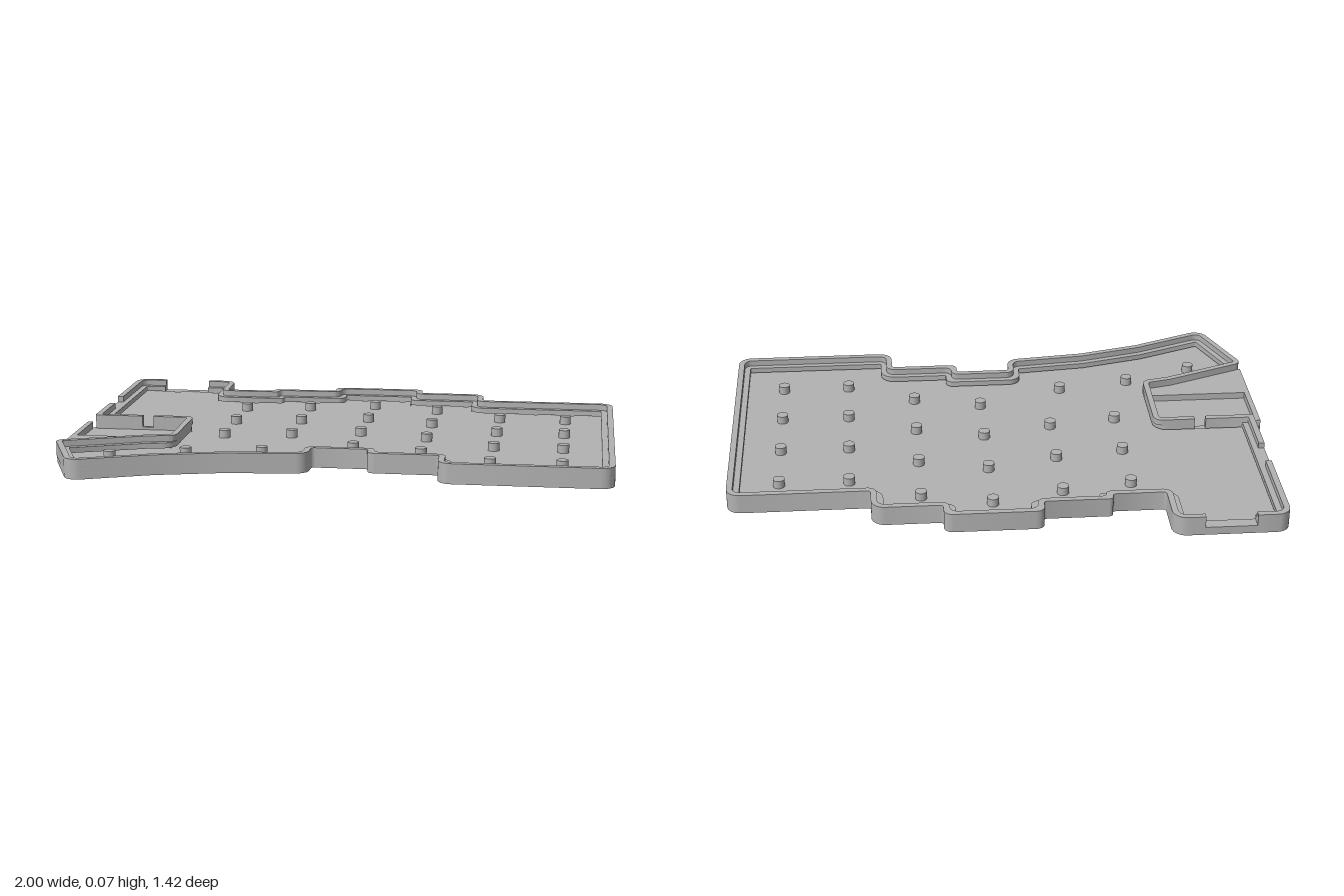
import * as THREE from 'three';
import { toCreasedNormals } from 'three/addons/utils/BufferGeometryUtils.js';

const FLOOR = 0.02, NOTCH = 0.03, LEDGE = 0.05, TOP = 0.0725;
const LIP = 0.022, FULL = 0.044;

// Wall outline, clockwise seen from above: [x, z, corner radius, thin edge follows]
const R = 0.05, C = 0.012;
const OUTLINE = [
  [-0.97, -0.716, R], [-0.85, -0.716, 0], [-0.668, -0.716, 0], [-0.556, -0.716, R],
  [-0.556, -0.54, C], [-0.365, -0.54, C], [-0.365, -0.572, R], [-0.118, -0.572, C],
  [-0.118, -0.636, R], [0.235, -0.636, R], [0.235, -0.572, C], [0.487, -0.572, R],
  [0.487, -0.457, C], [0.998, -0.457, R], [0.998, 0.604, R], [0.39, 0.604, R],
  [0.39, 0.487, C], [0.134, 0.487, R], [0.134, 0.43, C], [-0.07, 0.43, C],
  [-0.07, 0.519, R], [-0.37, 0.551, 0], [-0.604, 0.61, 0], [-0.885, 0.722, R],
  [-1.005, 0.425, 0.03], [-0.7, 0.305, 0], [-0.61, 0.285, C, true], [-0.61, 0, C, true],
  [-0.743, 0, 0, true], [-0.785, 0, 0, true], [-0.97, 0, C], [-0.97, -0.22, 0], [-0.97, -0.35, 0],
];
const PORT = 1, SLOT = 28, BUTTON = 31; // outline vertices where openings begin

// Offsets the outline inward and rounds it; returns a group of points per vertex
function insetOutline(width, thinWidth) {
  const n = OUTLINE.length;
  const dir = OUTLINE.map((p, i) => {
    const q = OUTLINE[(i + 1) % n];
    return new THREE.Vector2(q[0] - p[0], q[1] - p[1]).normalize();
  });
  const cornerPts = OUTLINE.map((p, i) => {
    const k = (i + n - 1) % n, a = dir[k], b = dir[i];
    const da = OUTLINE[k][3] ? thinWidth : width, db = p[3] ? thinWidth : width;
    const cross = a.x * b.y - a.y * b.x;
    const base = new THREE.Vector2(p[0], p[1]);
    if (Math.abs(cross) < 1e-6) return base.add(new THREE.Vector2(-b.y * db, b.x * db));
    const s = (da * a.dot(b) - db) / cross;
    return base.add(new THREE.Vector2(-a.y * da + a.x * -s * -1, a.x * da + a.y * s));
  });
  return cornerPts.map((p, i) => {
    const r0 = OUTLINE[i][2];
    if (r0 === 0) return [p];
    const k = (i + n - 1) % n, a = dir[k], b = dir[i];
    const convex = a.x * b.y - a.y * b.x > 0;
    const r = Math.max(0.004, convex ? r0 - width : r0 + width);
    const angle = Math.acos(THREE.MathUtils.clamp(a.dot(b), -1, 1));
    const room = 0.48 * Math.min(p.distanceTo(cornerPts[k]), p.distanceTo(cornerPts[(i + 1) % n]));
    const t = Math.min(r * Math.tan(angle / 2), room), rad = t / Math.tan(angle / 2);
    const side = convex ? 1 : -1;
    const start = p.clone().addScaledVector(a, -t);
    const centre = start.clone().add(new THREE.Vector2(-a.y, a.x).multiplyScalar(rad * side));
    return Array.from({ length: 9 }, (_, j) =>
      start.clone().rotateAround(centre, side * angle * j / 8));
  });
}

// Extrudes a plan (x, z) outline between two heights
function slab(points, y0, y1, hole) {
  const flip = (list) => list.map((p) => new THREE.Vector2(p.x, -p.y));
  const shape = new THREE.Shape(flip(points));
  if (hole) shape.holes.push(new THREE.Path(flip(hole)));
  const g = new THREE.ExtrudeGeometry(shape, { depth: y1 - y0, bevelEnabled: false });
  g.rotateX(-Math.PI / 2).translate(0, y0, 0);
  return toCreasedNormals(g, 0.5);
}

export function createModel() {
  const model = new THREE.Group();
  model.name = 'tray';
  const grey = new THREE.MeshStandardMaterial({ color: 0xb2b2b2 });
  grey.name = 'grey plastic';
  const add = (name, geometry) => {
    const mesh = new THREE.Mesh(geometry, grey);
    mesh.name = name;
    model.add(mesh);
    return mesh;
  };

  const outer = insetOutline(0, 0);
  const lipInner = insetOutline(LIP, LIP);
  const wallInner = insetOutline(FULL, LIP);
  const n = OUTLINE.length;
  const vec = (list) => list.map(([x, z]) => new THREE.Vector2(x, z));

  // Wall pieces running between openings
  function brokenWall(name, inner, y0, y1, gaps) {
    gaps.forEach((g, i) => {
      const end = gaps[(i + 1) % gaps.length];
      const ids = [];
      for (let v = g + 1; ; v++) {
        ids.push(v % n);
        if (v % n === end) break;
      }
      const out = ids.flatMap((v) => outer[v]);
      const back = ids.flatMap((v) => inner[v]).reverse();
      add(name, slab([...out, ...back], y0, y1));
    });
  }

  // Floor, including the ground under the side pocket
  const floorEdge = [
    ...outer.slice(0, 24).flat(),
    ...vec([[-0.99, 0.46], [-1, 0.425], [-1, 0], [-0.97, -0.02]]),
    ...outer.slice(31).flat(),
  ];
  add('floor', slab(floorEdge, 0, FLOOR));

  // Walls: solid base, ledge with openings, and raised outer lip
  add('wallBase', slab(outer.flat(), FLOOR, NOTCH, wallInner.flat()));
  brokenWall('wallLedge', wallInner, NOTCH, LEDGE, [PORT, SLOT]);
  brokenWall('wallLip', lipInner, LEDGE, TOP, [PORT, SLOT, BUTTON]);

  // Shelf and outer rim around the side pocket
  add('pocketShelf', slab(vec([
    [-1, 0], [-0.98, 0], [-0.98, 0.225], [-0.61, 0.225],
    [-0.61, 0.285], [-0.7, 0.305], [-1, 0.425],
  ]), FLOOR, 0.045));

  // Support pegs: one column per x, then the thumb pegs
  const columns = [
    [-0.45, [-0.395, -0.157, 0.083]], [-0.2, [-0.433, -0.192, 0.048]],
    [0.055, [-0.492, -0.254, -0.013, 0.227]], [0.308, [-0.433, -0.192, 0.048, 0.287]],
    [0.563, [-0.312, -0.074, 0.166, 0.407]], [0.816, [-0.312, -0.074, 0.166, 0.407]],
    [-0.535, [0.383]], [-0.265, [0.337]], [-0.794, [0.468]],
  ];
  const peg = new THREE.CylinderGeometry(0.021, 0.021, 0.03, 24);
  for (const [x, rows] of columns) {
    for (const z of rows) add('peg', peg).position.set(x, FLOOR + 0.015, z);
  }
  return model;
}
